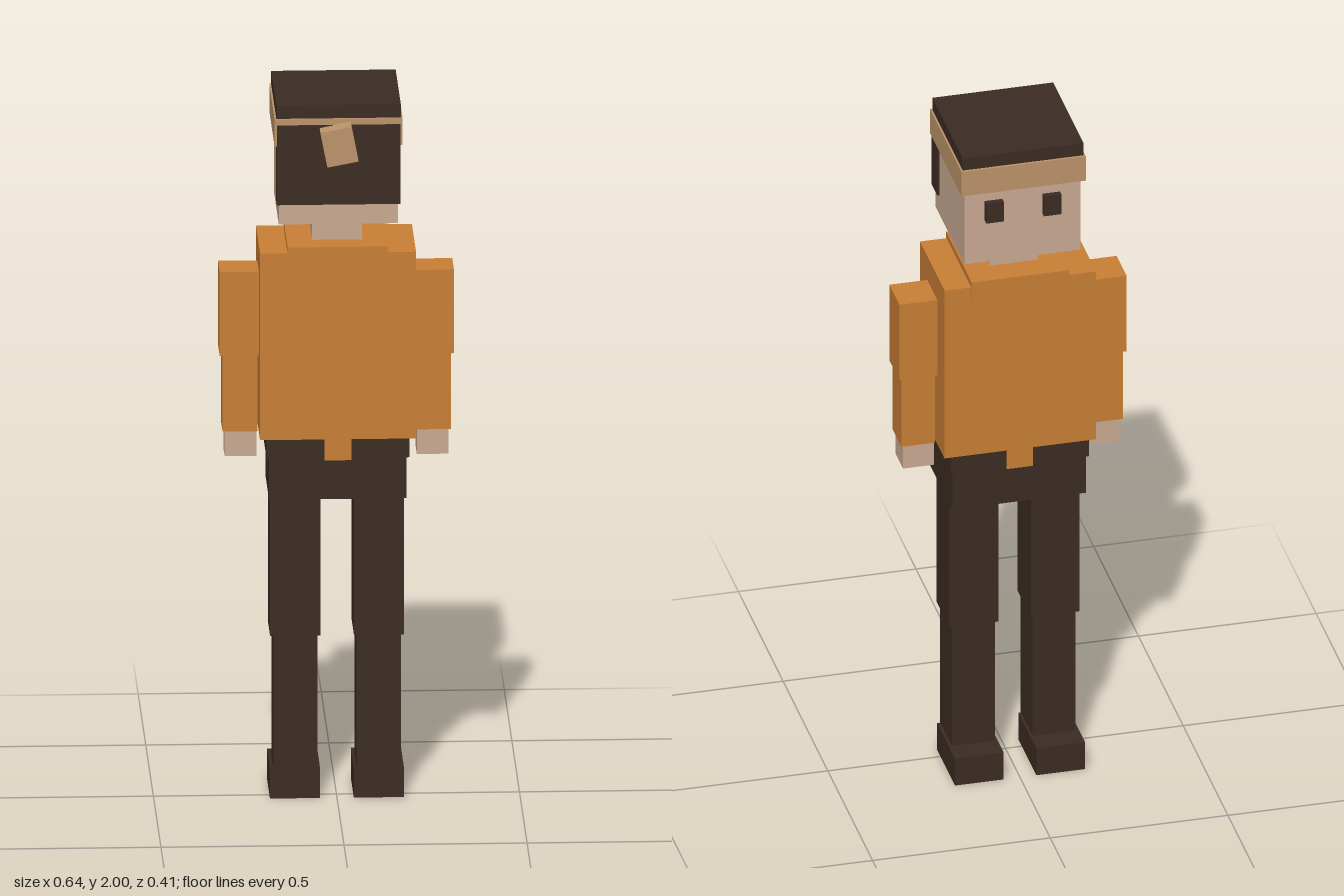
import * as THREE from 'three';

export function createModel() {
  const model = new THREE.Group();
  model.name = 'blockFigure';

  const material = (name, color) => {
    const m = new THREE.MeshStandardMaterial({ color });
    m.name = name;
    return m;
  };
  const orange = material('orangeShirt', 0xc97f35);
  const dark = material('darkBrown', 0x3b2c23);
  const skin = material('skin', 0xcaaa92);
  const tan = material('tanBand', 0xbd946a);

  // Box given by its extents on each axis
  const block = (name, mat, [x0, x1], [y0, y1], [z0, z1]) => {
    const mesh = new THREE.Mesh(new THREE.BoxGeometry(x1 - x0, y1 - y0, z1 - z0), mat);
    mesh.position.set((x0 + x1) / 2, (y0 + y1) / 2, (z0 + z1) / 2);
    mesh.name = name;
    model.add(mesh);
    return mesh;
  };
  const centred = (name, mat, half, y, z) => block(name, mat, [-half, half], y, z);
  // The same block on both sides of the body
  const pair = (name, mat, [x0, x1], y, z) => {
    block(name + 'Left', mat, [x0, x1], y, z);
    block(name + 'Right', mat, [-x1, -x0], y, z);
  };

  // Head, hair and headband (the face looks toward -z)
  centred('head', skin, 0.163, [1.66, 1.95], [-0.189, 0.136]);
  centred('hairTop', dark, 0.17, [1.93, 2.0], [-0.197, 0.142]);
  centred('hairBack', dark, 0.169, [1.72, 1.945], [0.09, 0.154]);
  centred('headband', tan, 0.175, [1.885, 1.962], [-0.204, 0.148]);
  pair('eye', dark, [0.056, 0.106], [1.79, 1.852], [-0.206, -0.18]);
  const knot = block('headbandKnot', tan, [-0.0435, 0.0435], [1.847, 1.947], [0.12, 0.204]);
  knot.rotation.z = 0.19;

  // Neck and torso
  centred('neck', skin, 0.068, [1.56, 1.67], [-0.094, 0.042]);
  centred('collar', orange, 0.138, [1.53, 1.588], [-0.17, 0.115]);
  centred('torso', orange, 0.213, [1.04, 1.57], [-0.165, 0.11]);
  centred('waist', dark, 0.195, [0.985, 1.045], [-0.158, 0.104]);
  centred('shirtTail', orange, 0.037, [0.98, 1.04], [-0.163, 0.109]);
  centred('hips', dark, 0.188, [0.867, 0.99], [-0.152, 0.098]);

  // Arms
  pair('upperArm', orange, [0.213, 0.32], [1.257, 1.495], [-0.084, 0.028]);
  pair('forearm', orange, [0.217, 0.312], [1.04, 1.257], [-0.076, 0.022]);
  pair('hand', skin, [0.219, 0.306], [0.968, 1.04], [-0.071, 0.015]);

  // Legs
  pair('thigh', dark, [0.046, 0.183], [0.465, 0.867], [-0.102, 0.047]);
  pair('shin', dark, [0.053, 0.174], [0.08, 0.465], [-0.094, 0.042]);
  pair('foot', dark, [0.046, 0.183], [0, 0.085], [-0.162, 0.037]);

  return model;
}
